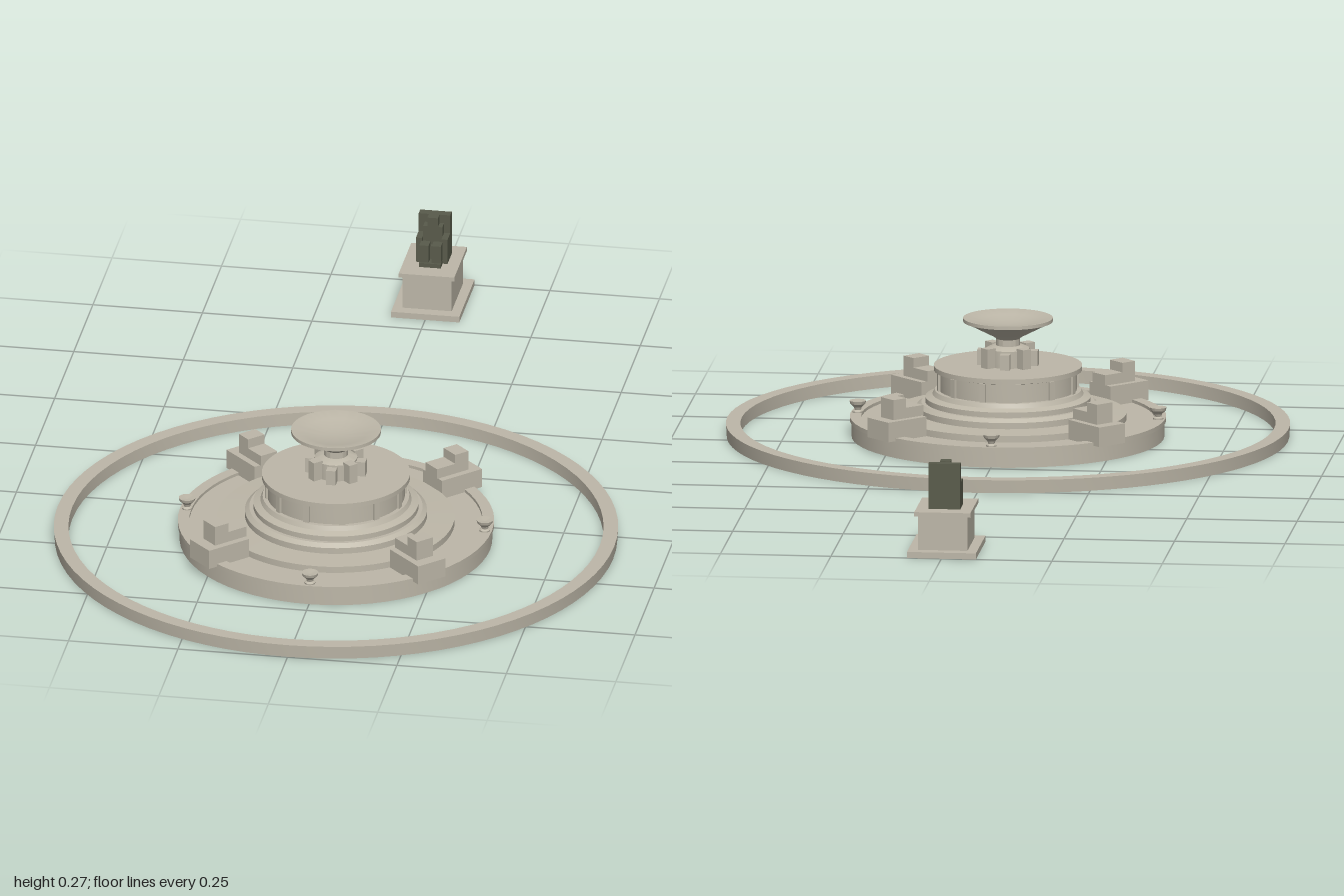
import * as THREE from 'three';
import { toCreasedNormals } from 'three/addons/utils/BufferGeometryUtils.js';

export function createModel() {
  const model = new THREE.Group();
  model.name = 'fountainPlaza';
  const stone = new THREE.MeshStandardMaterial({ color: 0xbdb7a8, side: THREE.DoubleSide });
  stone.name = 'pale stone';
  const bronze = new THREE.MeshStandardMaterial({ color: 0x595b4b });
  bronze.name = 'dark bronze';

  const add = (parent, name, geometry, material = stone) => {
    const mesh = new THREE.Mesh(geometry, material);
    mesh.name = name;
    parent.add(mesh);
    return mesh;
  };
  // Box given by its size, centre x and z, and bottom height
  const box = (parent, name, w, h, d, x, y, z, material) => {
    const mesh = add(parent, name, new THREE.BoxGeometry(w, h, d), material);
    mesh.position.set(x, y + h / 2, z);
    return mesh;
  };
  // Turned part with crisp edges, profile listed as [radius, height]
  const turned = (parent, name, profile, segments = 64) => {
    const points = profile.map(([r, y]) => new THREE.Vector2(r, y));
    return add(parent, name, toCreasedNormals(new THREE.LatheGeometry(points, segments), 0.5));
  };

  const fountain = new THREE.Group();
  fountain.name = 'fountain';
  fountain.position.z = 0.365;
  model.add(fountain);

  // Low kerb surrounding the fountain
  turned(fountain, 'outerKerb', [[0.602, 0], [0.633, 0], [0.635, 0.03], [0.602, 0.03], [0.602, 0]], 80);

  // Stepped hollow body, open underneath
  turned(fountain, 'steppedBody', [
    [0.352, 0], [0.352, 0.037], [0.356, 0.037], [0.356, 0.047], [0.33, 0.047], [0.33, 0.04],
    [0.267, 0.04], [0.267, 0.055], [0.205, 0.058], [0.205, 0.072], [0.195, 0.08], [0.186, 0.08],
    [0.186, 0.092], [0.17, 0.098], [0.165, 0.108], [0.155, 0.108],
    [0.155, 0.15], [0.167, 0.153], [0.167, 0.164], [0.158, 0.164], [0, 0.164],
  ]);

  // Pilasters around the drum
  for (let i = 0; i < 12; i++) {
    const bay = new THREE.Group();
    bay.name = 'drumPilaster';
    bay.rotation.y = ((i + 0.5) * Math.PI) / 6;
    box(bay, 'pilaster', 0.014, 0.042, 0.012, 0, 0.108, 0.154);
    fountain.add(bay);
  }

  // Pedestal with buttresses, stem and wide upper bowl
  turned(fountain, 'pedestal', [[0.048, 0.164], [0.048, 0.203], [0.032, 0.21], [0, 0.21]], 32);
  for (let i = 0; i < 8; i++) {
    const arm = new THREE.Group();
    arm.name = 'pedestalButtress';
    arm.rotation.y = (i * Math.PI) / 4;
    box(arm, 'buttress', 0.022, i % 2 ? 0.045 : 0.035, 0.025, 0, 0.164, 0.056);
    fountain.add(arm);
  }
  turned(fountain, 'upperBowl', [
    [0.027, 0.205], [0.027, 0.225], [0.033, 0.23], [0.058, 0.243], [0.08, 0.255], [0.096, 0.262],
    [0.101, 0.264], [0.101, 0.272], [0.096, 0.272], [0.07, 0.265], [0.035, 0.259], [0, 0.257],
  ]);

  // Stepped blocks on the diagonals and small urns on the axes
  for (let i = 0; i < 4; i++) {
    const corner = new THREE.Group();
    corner.name = 'cornerBlock';
    corner.rotation.y = Math.PI / 4 + (i * Math.PI) / 2;
    box(corner, 'blockBase', 0.075, 0.045, 0.11, 0, 0.04, 0.32);
    box(corner, 'blockSeat', 0.045, 0.024, 0.05, 0, 0.085, 0.287);
    box(corner, 'blockBack', 0.045, 0.046, 0.036, 0, 0.085, 0.33);
    fountain.add(corner);

    const urn = turned(fountain, 'urn', [
      [0.012, 0.045], [0.012, 0.05], [0.007, 0.053], [0.009, 0.059], [0.017, 0.067],
      [0.019, 0.074], [0.015, 0.074], [0, 0.07],
    ], 20);
    const a = (i * Math.PI) / 2;
    urn.position.set(0.34 * Math.sin(a), 0, 0.34 * Math.cos(a));
  }

  // Plinth standing behind the fountain
  const monument = new THREE.Group();
  monument.name = 'monument';
  monument.position.z = -0.9;
  model.add(monument);
  box(monument, 'plinthFoot', 0.156, 0.014, 0.2, 0, 0, 0);
  box(monument, 'plinthBody', 0.112, 0.078, 0.148, 0, 0.014, 0);
  box(monument, 'plinthCap', 0.127, 0.01, 0.164, 0, 0.092, 0);

  // Blocky seated figure on a high-backed throne
  const statue = new THREE.Group();
  statue.name = 'seatedStatue';
  monument.add(statue);
  box(statue, 'throneSeat', 0.072, 0.04, 0.056, 0, 0.102, -0.014, bronze);
  box(statue, 'throneBack', 0.072, 0.104, 0.02, 0, 0.102, -0.032, bronze);
  box(statue, 'torso', 0.044, 0.044, 0.026, 0, 0.142, -0.012, bronze);
  box(statue, 'head', 0.024, 0.024, 0.024, 0, 0.184, -0.01, bronze);
  box(statue, 'feet', 0.05, 0.01, 0.028, 0, 0.102, 0.026, bronze);
  for (const s of [-1, 1]) {
    box(statue, 'armrest', 0.014, 0.02, 0.044, s * 0.029, 0.142, -0.008, bronze);
    box(statue, 'leg', 0.021, 0.05, 0.026, s * 0.014, 0.104, 0.023, bronze);
  }
  return model;
}
